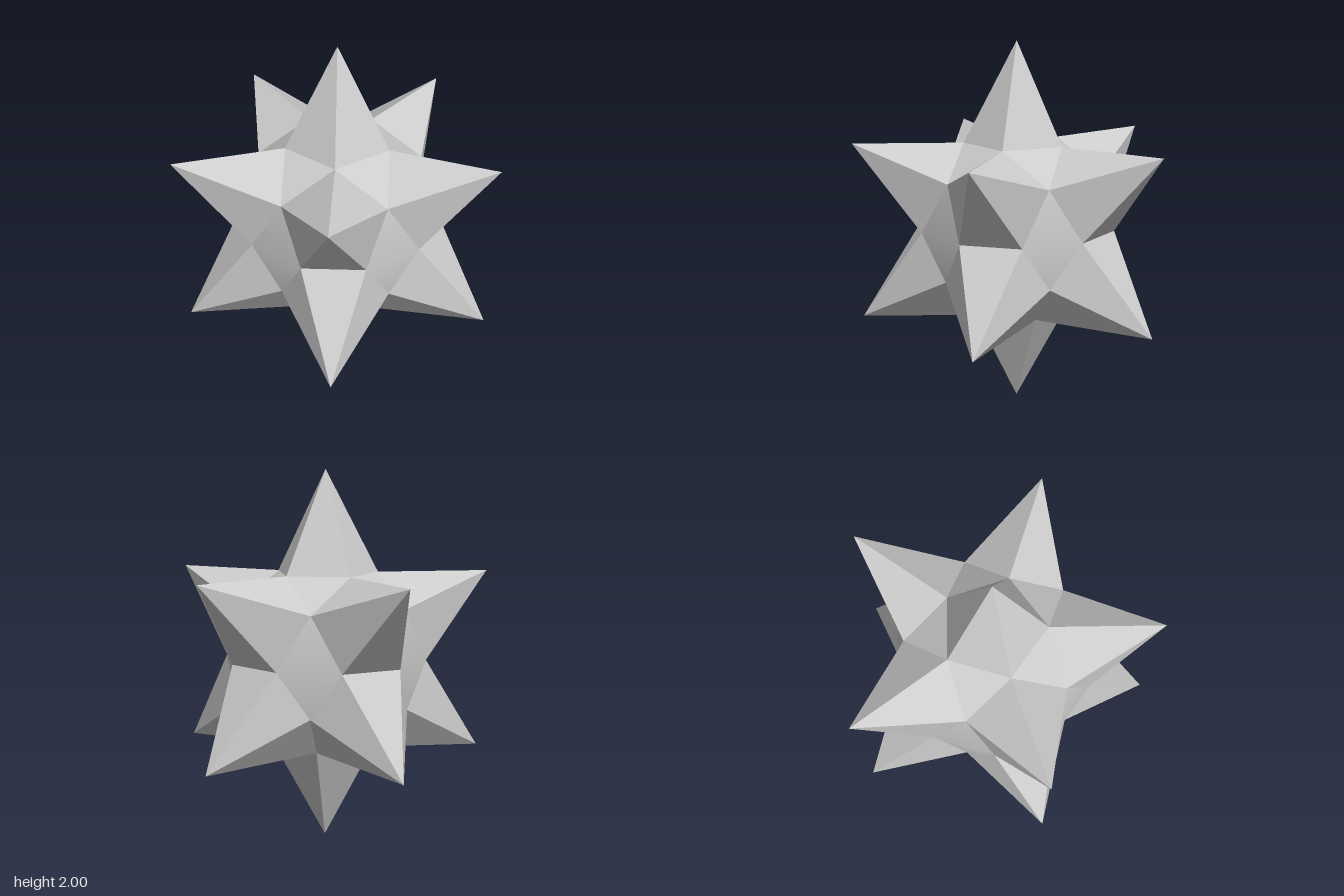
import * as THREE from 'three';

const CENTRE_Y = 0.99;
const STEP = 72;

// Point on a ring around the vertical axis: radius, height, angle in degrees
function polar(radius, y, degrees) {
  const a = THREE.MathUtils.degToRad(degrees);
  return new THREE.Vector3(radius * Math.cos(a), y, radius * Math.sin(a));
}

// Core corners, from the top ring down to the bottom ring
const topRing = (a) => polar(0.287, 1.45, a);
const upperRing = (a) => polar(0.466, 1.275, a);
const equator = (a) => polar(0.545, CENTRE_Y, a);
const lowerRing = (a) => polar(0.485, 0.745, a);
const bottomRing = (a) => polar(0.285, 0.525, a);

// Flip a triangle if needed so that it faces away from the core centre
function outward([a, b, c]) {
  const normal = b.clone().sub(a).cross(c.clone().sub(a));
  const middle = a.clone().add(b).add(c).divideScalar(3);
  middle.y -= CENTRE_Y;
  return normal.dot(middle) < 0 ? [a, c, b] : [a, b, c];
}

const flat = new THREE.MeshStandardMaterial({ color: 0xcccccc, flatShading: true });
const smooth = new THREE.MeshStandardMaterial({ color: 0xcccccc });

function addFlat(group, name, triangles) {
  const geometry = new THREE.BufferGeometry().setFromPoints(triangles.flatMap(outward));
  geometry.computeVertexNormals();
  const mesh = new THREE.Mesh(geometry, flat);
  mesh.name = name;
  group.add(mesh);
}

// Open pyramid from a closed loop of base corners to a tip
function addSpike(group, name, tip, base) {
  addFlat(group, name, base.map((p, i) => [p, base[(i + 1) % base.length], tip]));
}

// Two triangles softly folded across the equator
function addDiamond(group, a) {
  const up = upperRing(a), down = lowerRing(a);
  const left = equator(a - 18), right = equator(a + 18);
  const geometry = new THREE.BufferGeometry().setFromPoints([up, right, left, down]);
  geometry.setIndex([0, 1, 2, 3, 2, 1]);
  geometry.computeVertexNormals();
  const mesh = new THREE.Mesh(geometry, smooth);
  mesh.name = 'equatorDiamond';
  group.add(mesh);
}

export function createModel() {
  const model = new THREE.Group();
  model.name = 'spikedStar';
  const star = new THREE.Group();
  star.name = 'star';
  star.position.x = -0.085;
  model.add(star);

  const angles = [0, 1, 2, 3, 4].map((i) => i * STEP);

  // Vertical spikes
  addSpike(star, 'topSpike', new THREE.Vector3(0, 2, 0), angles.map(topRing));
  addSpike(star, 'bottomSpike', new THREE.Vector3(0, 0, 0), angles.map((a) => bottomRing(a + 36)));

  for (const a of angles) {
    // Five-sided spike above the equator
    addSpike(star, 'upperSpike', polar(0.89, 1.45, a), [
      topRing(a), upperRing(a + 36), equator(a + 18), equator(a - 18), upperRing(a - 36),
    ]);
    // Six-sided spike below the equator
    addSpike(star, 'lowerSpike', polar(0.85, 0.48, a), [
      equator(a - 18), equator(a + 18), lowerRing(a + 36),
      bottomRing(a + 36), bottomRing(a - 36), lowerRing(a - 36),
    ]);
    // Core panels left bare between the spikes
    addFlat(star, 'upperPanel', [[topRing(a), topRing(a + STEP), upperRing(a + 36)]]);
    addDiamond(star, a + 36);
  }
  return model;
}
